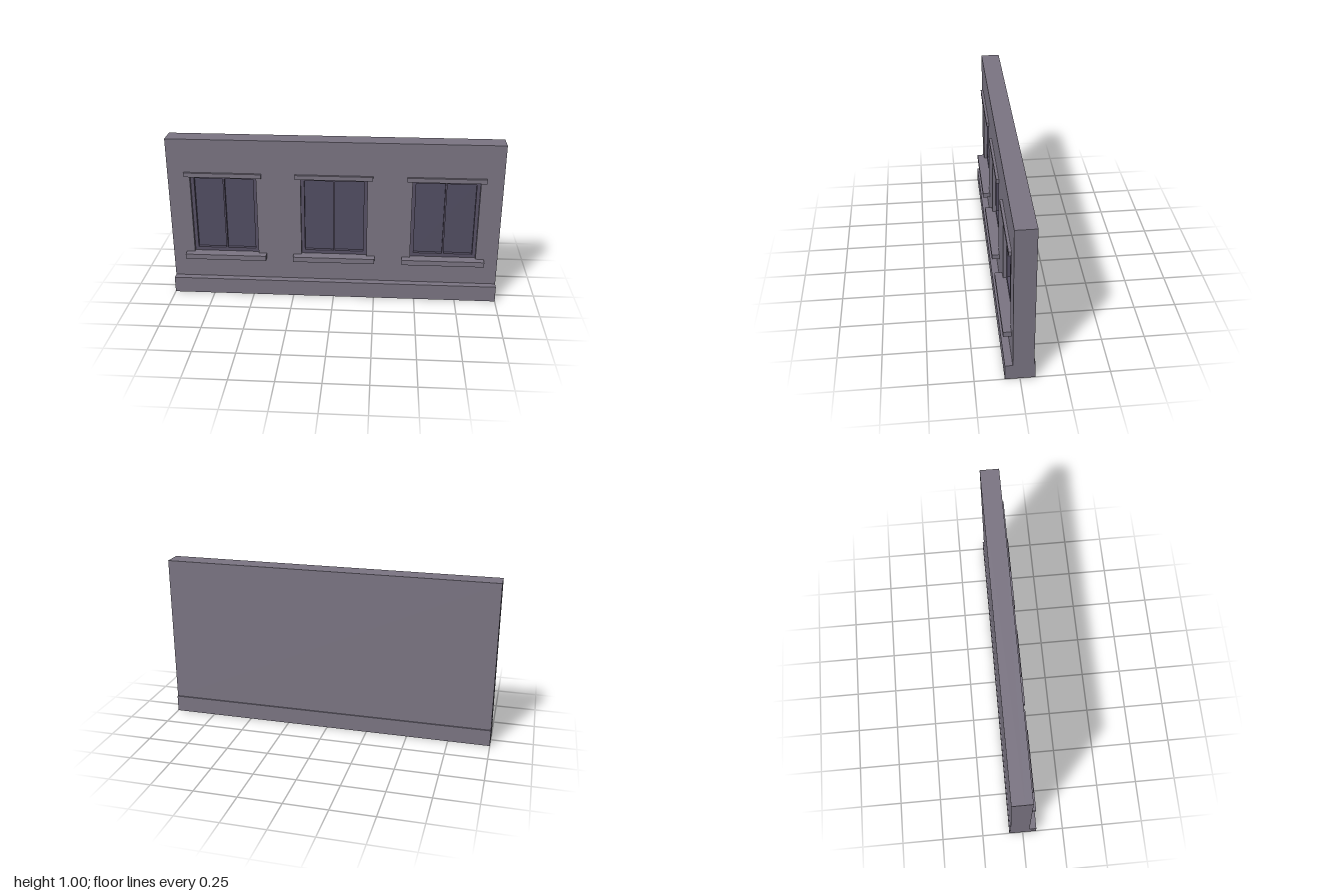
import * as THREE from 'three';

const material = (name, color) => {
  const m = new THREE.MeshStandardMaterial({ color });
  m.name = name;
  return m;
};

// Box given by its limits on each axis
function slab(name, mat, [x0, x1], [y0, y1], [z0, z1]) {
  const mesh = new THREE.Mesh(new THREE.BoxGeometry(x1 - x0, y1 - y0, z1 - z0), mat);
  mesh.position.set((x0 + x1) / 2, (y0 + y1) / 2, (z0 + z1) / 2);
  mesh.name = name;
  return mesh;
}

const rectPoints = (x0, x1, y0, y1) => [
  new THREE.Vector2(x0, y0), new THREE.Vector2(x1, y0),
  new THREE.Vector2(x1, y1), new THREE.Vector2(x0, y1),
];

// Rectangular panel with rectangular openings, extruded from z0 to z1
function piercedPanel(name, mat, outer, openings, z0, z1) {
  const shape = new THREE.Shape(rectPoints(...outer));
  openings.forEach((o) => shape.holes.push(new THREE.Path(rectPoints(...o).reverse())));
  const geo = new THREE.ExtrudeGeometry(shape, { depth: z1 - z0, bevelEnabled: false });
  geo.translate(0, 0, z0);
  const mesh = new THREE.Mesh(geo, mat);
  mesh.name = name;
  return mesh;
}

export function createModel() {
  const stone = material('stone', 0x7b7583);
  const frameDark = material('windowFrame', 0x575165);
  const glass = material('glass', 0x524e63);

  const model = new THREE.Group();
  model.name = 'wallSection';

  const centres = [-0.667, 0, 0.667];
  const halfW = 0.2, bottom = 0.267, top = 0.767;
  const wallBack = -0.076, wallFront = 0.04, recess = -0.005;

  // Wall: solid backing and a pierced front layer, on a wider plinth
  model.add(slab('wallBacking', stone, [-1, 1], [0.1, 1], [wallBack, recess]));
  model.add(piercedPanel('wallFront', stone, [-1, 1, 0.1, 1],
    centres.map((x) => [x - halfW, x + halfW, bottom, top]), recess, wallFront));
  model.add(slab('plinth', stone, [-1, 1], [0, 0.1], [-0.084, 0.083]));

  // Windows: glass, frame with a centre bar, sill and lintel
  for (const x of centres) {
    const win = new THREE.Group();
    win.name = 'window';
    win.position.x = x;
    const inner = 0.179, bar = 0.005;
    win.add(slab('glassPane', glass, [-inner, inner], [0.29, 0.748], [recess, 0]));
    win.add(piercedPanel('frame', frameDark, [-halfW, halfW, bottom, top],
      [[-inner, -bar, 0.29, 0.748], [bar, inner, 0.29, 0.748]], recess, 0.02));
    win.add(slab('sill', stone, [-0.25, 0.25], [0.235, bottom], [wallFront, 0.085]));
    win.add(slab('lintel', stone, [-0.233, 0.233], [top, 0.793], [wallFront, 0.056]));
    model.add(win);
  }
  return model;
}
